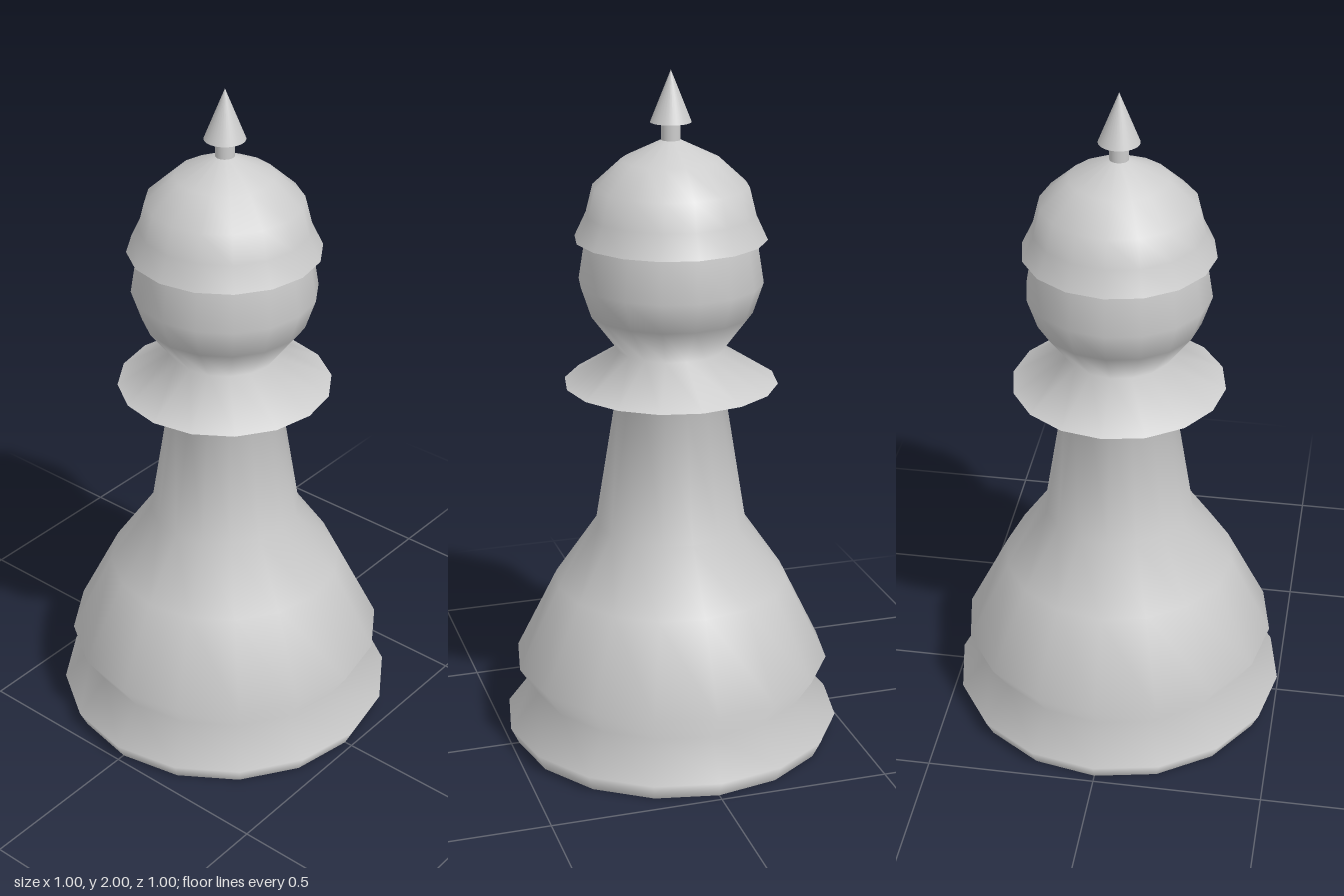
import * as THREE from 'three';

export function createModel() {
  const group = new THREE.Group();
  group.name = 'chessPiece';
  const material = new THREE.MeshStandardMaterial({ color: 0xcccccc, side: THREE.DoubleSide });

  // Turns a [radius, height] profile, listed bottom to top, around the y axis
  function turned(name, profile, sides = 16) {
    const points = profile.map(([r, y]) => new THREE.Vector2(r, y));
    const mesh = new THREE.Mesh(new THREE.LatheGeometry(points, sides), material);
    mesh.name = name;
    group.add(mesh);
  }

  // Hollow base, flared body, neck and underside of the collar
  turned('body', [
    [0.476, 0], [0.5, 0.05], [0.413, 0.155], [0.468, 0.24], [0.345, 0.49],
    [0.222, 0.67], [0.16, 1.055], [0.31, 1.1],
  ]);

  // Top of the collar flowing into the rounded head
  turned('collarAndHead', [
    [0.31, 1.1], [0.153, 1.2], [0.235, 1.31], [0.265, 1.4], [0.245, 1.525],
  ]);

  // Flat underside of the cap brim, then the domed cap
  turned('capBrim', [[0.245, 1.525], [0.275, 1.525]]);
  turned('cap', [
    [0.275, 1.525], [0.242, 1.595], [0.222, 1.675], [0.14, 1.75], [0.027, 1.805], [0, 1.808],
  ]);

  // Finial: short stem and pointed tip
  turned('finialStem', [[0.027, 1.8], [0.027, 1.855]], 32);
  turned('finialUnderside', [[0, 1.855], [0.058, 1.855]], 32);
  turned('finialTip', [[0.058, 1.855], [0, 2]], 32);

  return group;
}
